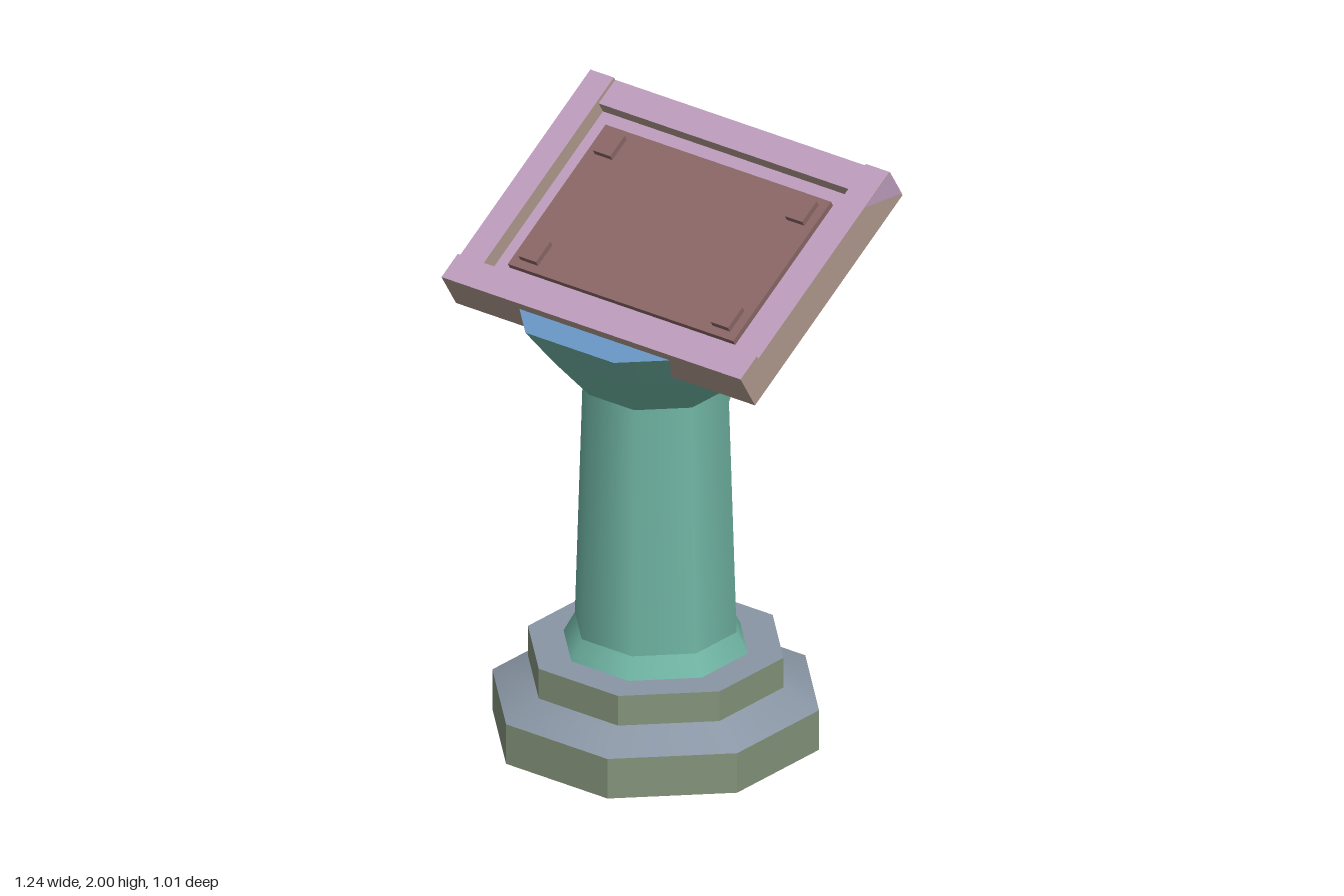
import * as THREE from 'three';

const mat = (name, color, extra = {}) => {
  const m = new THREE.MeshStandardMaterial({ color, ...extra });
  m.name = name;
  return m;
};

export function createModel() {
  const model = new THREE.Group();
  model.name = 'lectern';

  const purple = mat('purpleTrim', 0xbc9cbc);
  const tan = mat('tanWood', 0xb09a8d);
  const panelBrown = mat('redBrown', 0x8a6666);
  const teal = mat('tealStone', 0x70b5a4);
  const slate = mat('slateStone', 0x8a96a5);
  const green = mat('greenStone', 0x83937a);
  const blue = mat('blueBasin', 0x6b98c8);
  const steel = mat('greyCord', 0x8d9196);
  const darkRed = mat('redCord', 0x7d595c);

  const add = (parent, name, geometry, material) => {
    const mesh = new THREE.Mesh(geometry, material);
    mesh.name = name;
    parent.add(mesh);
    return mesh;
  };

  // Octagonal ring between two heights; radii are measured to the flats
  const K = 1 / Math.cos(Math.PI / 8);
  const ring = (name, r0, y0, r1, y1, material, flat = false) => {
    let g = new THREE.CylinderGeometry(r1 * K, r0 * K, y1 - y0, 8, 1, true, Math.PI / 8);
    if (flat) {
      g = g.toNonIndexed();
      g.computeVertexNormals();
    }
    g.translate(0, (y0 + y1) / 2, 0);
    return add(model, name, g, material);
  };
  const disc = (name, r, y, material, down = false) => {
    const g = new THREE.CircleGeometry(r * K, 8, Math.PI / 8);
    g.rotateX(down ? Math.PI / 2 : -Math.PI / 2).translate(0, y, 0);
    return add(model, name, g, material);
  };

  // Stepped base
  disc('baseUnderside', 0.505, 0, green, true);
  ring('lowerBase', 0.505, 0, 0.505, 0.14, green, true);
  ring('baseSlope', 0.505, 0.14, 0.395, 0.205, slate);
  ring('upperBase', 0.395, 0.205, 0.395, 0.31, green, true);
  disc('upperBaseTop', 0.395, 0.31, slate);

  // Column and flared head
  ring('columnFoot', 0.285, 0.31, 0.25, 0.38, teal);
  ring('columnShaft', 0.25, 0.38, 0.225, 1.24, teal);
  ring('lowerBowl', 0.225, 1.24, 0.345, 1.385, teal);
  ring('upperBowl', 0.345, 1.385, 0.44, 1.512, teal);
  disc('bowlTop', 0.44, 1.512, blue);

  // Sloping board: local +z runs down the slope, local y is its normal
  const board = new THREE.Group();
  board.name = 'board';
  board.position.set(0, 2, -0.43);
  board.rotation.x = THREE.MathUtils.degToRad(32);
  model.add(board);

  const trimmed = [tan, tan, purple, tan, tan, purple];
  const slab = (name, x0, x1, y0, y1, z0, z1, material) => {
    const g = new THREE.BoxGeometry(x1 - x0, y1 - y0, z1 - z0);
    g.translate((x0 + x1) / 2, (y0 + y1) / 2, (z0 + z1) / 2);
    return add(board, name, g, material);
  };
  slab('frontRail', -0.617, 0.617, -0.126, 0.014, 0.79, 0.888, trimmed);
  slab('backRail', -0.52, 0.52, -0.126, -0.012, 0, 0.1, trimmed);
  slab('leftRail', 0.52, 0.617, -0.126, 0, 0, 0.79, trimmed);
  slab('rightRail', -0.617, -0.52, -0.126, 0, 0, 0.79, trimmed);
  slab('boardFloor', -0.52, 0.52, -0.126, -0.055, 0.1, 0.79, trimmed);
  slab('undersideLip', -0.585, 0.585, -0.147, -0.126, 0.03, 0.858, tan);
  slab('panel', -0.465, 0.465, -0.055, -0.035, 0.152, 0.741, panelBrown);
  for (const x of [-0.432, 0.36]) {
    for (const z of [0.178, 0.625]) {
      slab('panelPad', x, x + 0.072, -0.035, -0.015, z, z + 0.087, panelBrown);
    }
  }

  // Painted corner on the left rail's outer face
  const corner = new THREE.BufferGeometry();
  corner.setAttribute('position', new THREE.Float32BufferAttribute(
    [0.619, 0, 0, 0.619, 0, 0.15, 0.619, -0.115, 0], 3));
  corner.computeVertexNormals();
  add(board, 'paintedCorner', corner, purple);

  // Cords: a length on the bowl top and a bent end behind the column
  const cord = (name, points, material) => {
    const curve = new THREE.CatmullRomCurve3(points.map((p) => new THREE.Vector3(...p)));
    add(model, name, new THREE.TubeGeometry(curve, 8, 0.012, 6), material);
    for (const p of [points[0], points[points.length - 1]]) {
      const cap = add(model, name + 'End', new THREE.SphereGeometry(0.012, 6, 4), material);
      cap.position.set(...p);
    }
  };
  for (const [x, material] of [[0.165, steel], [-0.165, darkRed]]) {
    cord('topCord', [[x, 1.545, 0.04], [x, 1.535, -0.14], [x, 1.522, -0.305]], material);
    cord('backCord', [[x, 1.115, -0.12], [x, 1.2, -0.185], [x, 1.28, -0.24], [x, 1.36, -0.268]], material);
  }

  return model;
}
